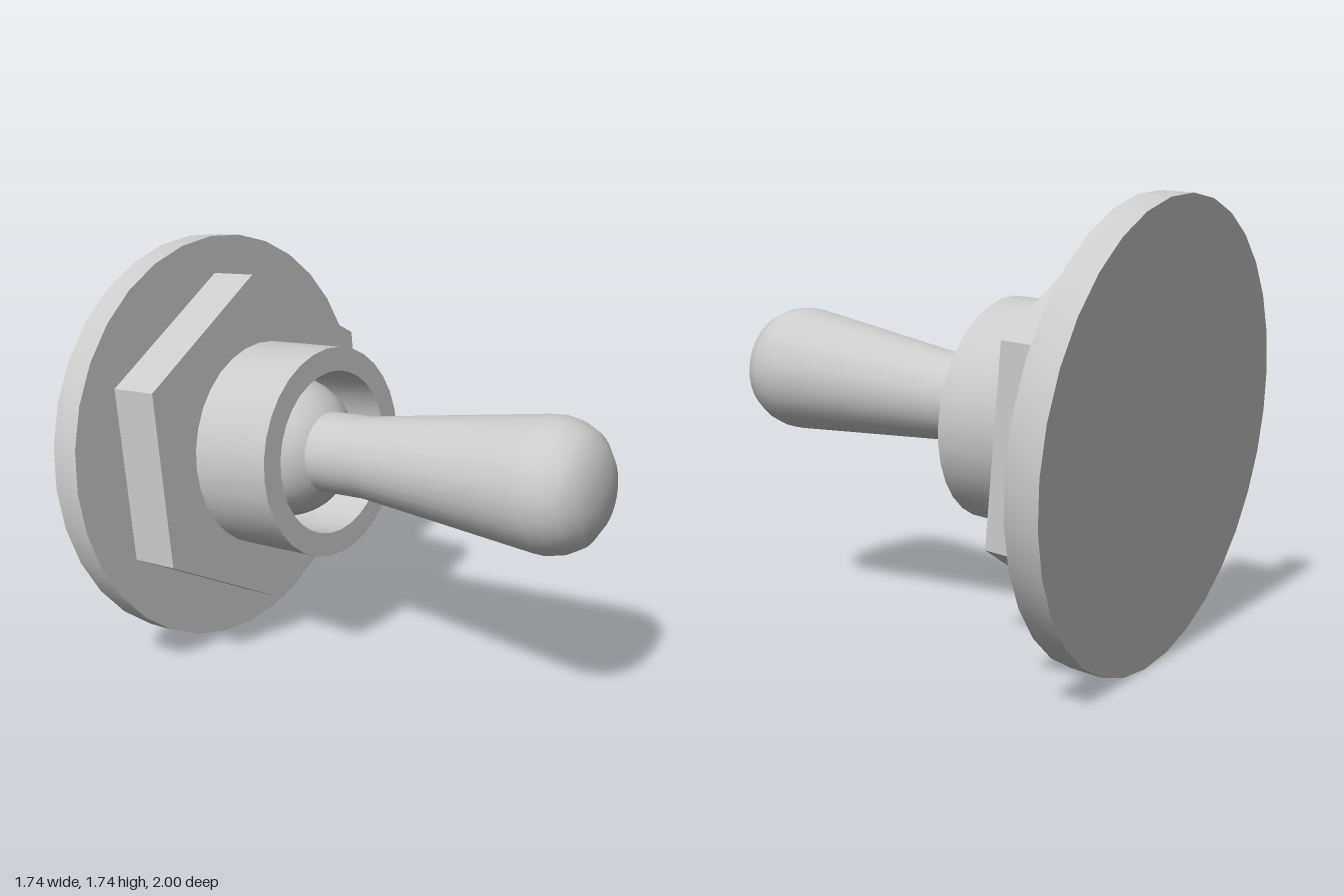
import * as THREE from 'three';
import { toCreasedNormals } from 'three/addons/utils/BufferGeometryUtils.js';

const material = new THREE.MeshStandardMaterial({ color: 0xcccccc });

// Every part turns about one shared axis, laid along local z.
function addPart(group, name, geometry) {
  geometry.rotateX(Math.PI / 2);
  const mesh = new THREE.Mesh(toCreasedNormals(geometry, 0.6), material);
  mesh.name = name;
  group.add(mesh);
}

// Solid prism or disc between two distances along the axis.
function slab(radius, from, to, sides) {
  return new THREE.CylinderGeometry(radius, radius, to - from, sides).translate(0, (from + to) / 2, 0);
}

// Turned shape from [radius, distance] pairs.
function turned(profile, sides = 32) {
  return new THREE.LatheGeometry(profile.map(([r, t]) => new THREE.Vector2(r, t)), sides);
}

export function createModel() {
  const model = new THREE.Group();
  model.name = 'toggleSwitch';

  const body = new THREE.Group();
  body.name = 'switchBody';
  model.add(body);

  // Mounting plate and hexagonal nut
  addPart(body, 'basePlate', slab(0.867, 0, 0.125, 32));
  addPart(body, 'hexNut', slab(0.714, 0.125, 0.337, 6));

  // Hollow collar, open towards the lever
  addPart(body, 'collar', turned([[0.431, 0.33], [0.431, 0.70], [0.335, 0.70], [0.335, 0.33]]));

  // Pivot ball inside the collar
  addPart(body, 'pivotBall', new THREE.SphereGeometry(0.3, 32, 16).translate(0, 0.43, 0));

  // Lever: straight neck, flared handle, rounded tip
  addPart(body, 'lever', turned([
    [0.166, 0.5], [0.166, 0.88], [0.256, 1.68], [0.258, 1.73], [0.246, 1.79],
    [0.215, 1.85], [0.155, 1.896], [0.08, 1.914], [0, 1.92],
  ]));

  // Whole switch leans slightly up and to its left
  const axis = new THREE.Vector3(0.052, 0.087, 1).normalize();
  body.quaternion.setFromUnitVectors(new THREE.Vector3(0, 0, 1), axis);
  body.position.set(-0.004, 0.867, -0.912);

  return model;
}
